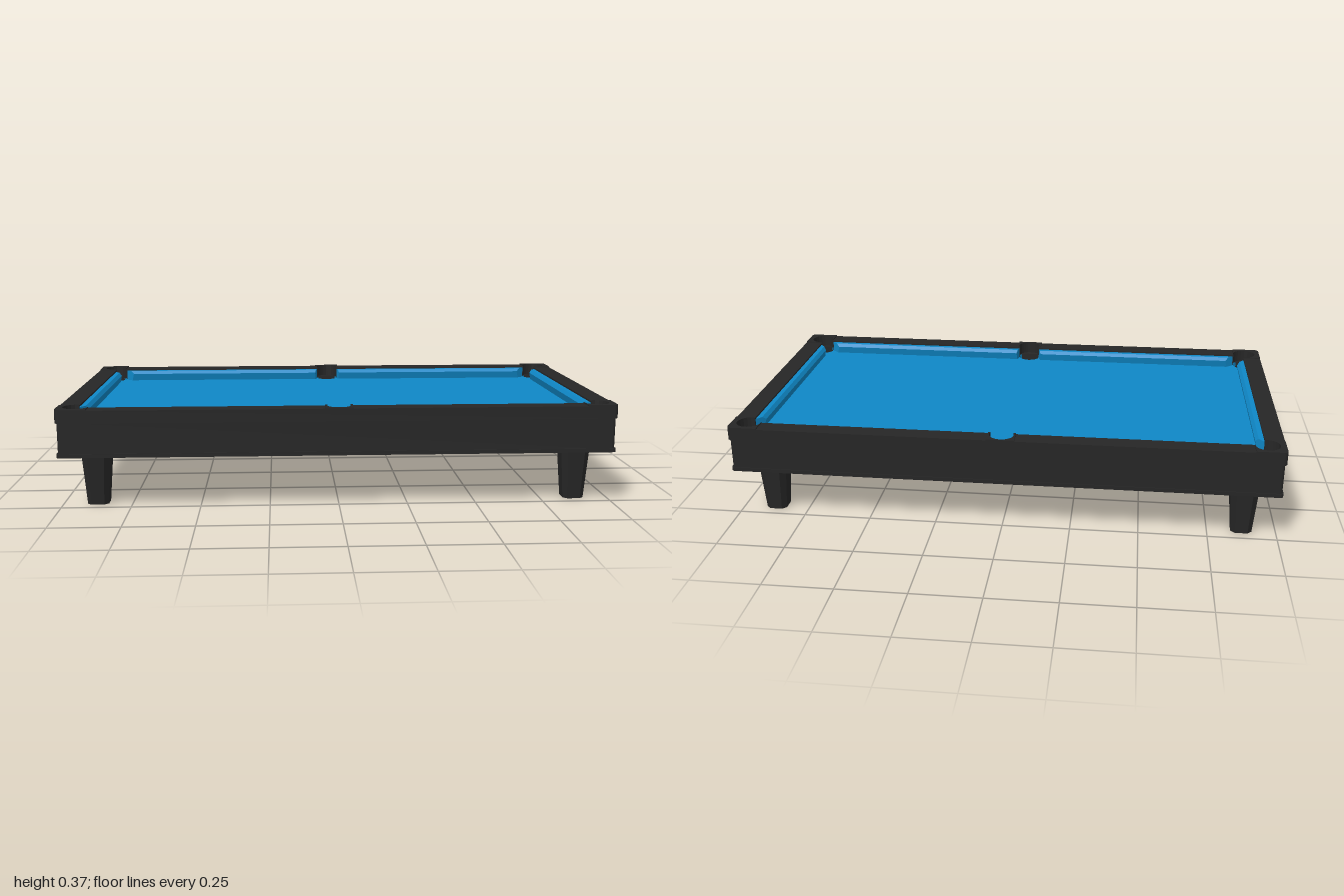
import * as THREE from 'three';
import { ConvexGeometry } from 'three/addons/geometries/ConvexGeometry.js';

const black = new THREE.MeshStandardMaterial({ color: 0x262626 });
black.name = 'black wood';
const pocketBlack = new THREE.MeshStandardMaterial({ color: 0x242424, side: THREE.DoubleSide });
pocketBlack.name = 'pocket black';
const felt = new THREE.MeshStandardMaterial({ color: 0x0f87c6 });
felt.name = 'blue felt';

const R = 0.045;                       // pocket radius
const CX = 0.935, CZ = 0.487, SZ = 0.497; // corner and side pocket centres
const IX = 0.93, IZ = 0.48;            // inner edge of the rail
const pockets = [[0, SZ], [0, -SZ]];
for (const sx of [1, -1]) for (const sz of [1, -1]) pockets.push([sx * CX, sz * CZ]);

function roundedRect(w, d, r) {
  const s = new THREE.Shape();
  s.absarc(w - r, d - r, r, 0, Math.PI / 2);
  s.absarc(-w + r, d - r, r, Math.PI / 2, Math.PI);
  s.absarc(-w + r, -d + r, r, Math.PI, Math.PI * 1.5);
  s.absarc(w - r, -d + r, r, Math.PI * 1.5, Math.PI * 2);
  s.closePath();
  return s;
}

// Stands a plan outline upright between two heights
function slab(shape, y0, y1) {
  const g = new THREE.ExtrudeGeometry(shape, { depth: y1 - y0, bevelEnabled: false, curveSegments: 8 });
  g.rotateX(-Math.PI / 2);
  g.translate(0, y0, 0);
  return g;
}

// Arc around a pocket centre through the outer side, between two points
function pocketArc(path, c, from, to, clockwise = false) {
  const ang = p => Math.atan2(p[1] - c[1], p[0] - c[0]);
  path.absarc(c[0], c[1], R, ang(from), ang(to), clockwise);
}

export function createModel() {
  const table = new THREE.Group();
  table.name = 'poolTable';
  const add = (geometry, material, name) => {
    const m = new THREE.Mesh(geometry, material);
    m.name = name;
    table.add(m);
    return m;
  };

  // Skirt around the body, with a thin lip at its foot
  const skirt = roundedRect(0.994, 0.543, 0.012);
  skirt.holes.push(roundedRect(0.97, 0.52, 0.005));
  add(slab(skirt, 0.205, 0.32), black, 'skirt');
  const lip = roundedRect(0.998, 0.547, 0.012);
  lip.holes.push(roundedRect(0.965, 0.515, 0.005));
  add(slab(lip, 0.193, 0.207), black, 'skirtLip');

  // Bed with pocket holes
  const bed = roundedRect(0.982, 0.535, 0.005);
  for (const [x, z] of pockets) {
    const hole = new THREE.Path();
    hole.absarc(x, z, R - 0.001, 0, Math.PI * 2);
    bed.holes.push(hole);
  }
  add(slab(bed, 0.27, 0.315), felt, 'bed');

  // Rail, its opening scalloped at the six pockets
  const ax = CX - Math.sqrt(R * R - (CZ - IZ) ** 2);
  const az = CZ - Math.sqrt(R * R - (CX - IX) ** 2);
  const sx = Math.sqrt(R * R - (SZ - IZ) ** 2);
  const opening = new THREE.Path();
  pocketArc(opening, [CX, CZ], [IX, az], [ax, IZ]);
  pocketArc(opening, [0, SZ], [sx, IZ], [-sx, IZ]);
  pocketArc(opening, [-CX, CZ], [-ax, IZ], [-IX, az]);
  pocketArc(opening, [-CX, -CZ], [-IX, -az], [-ax, -IZ]);
  pocketArc(opening, [0, -SZ], [-sx, -IZ], [sx, -IZ]);
  pocketArc(opening, [CX, -CZ], [ax, -IZ], [IX, -az]);
  opening.closePath();
  const rail = roundedRect(1, 0.547, 0.014);
  rail.holes.push(opening);
  add(slab(rail, 0.317, 0.362), black, 'rail');

  // Raised castings at the corners and the side pockets
  for (const mx of [1, -1]) for (const mz of [1, -1]) {
    const s = new THREE.Shape();
    const pts = [];
    const a0 = Math.atan2(az - CZ, IX - CX), a1 = Math.atan2(IZ - CZ, ax - CX) + Math.PI * 2;
    for (let i = 0; i <= 16; i++) {
      const a = a0 + (a1 - a0) * i / 16;
      pts.push([CX + R * Math.cos(a), CZ + R * Math.sin(a)]);
    }
    pts.push([ax, 0.547], [0.986, 0.547], [0.996, 0.543], [1, 0.533], [1, az]);
    s.setFromPoints(pts.map(([x, z]) => new THREE.Vector2(x * mx, z * mz)));
    add(slab(s, 0.361, 0.366), black, 'cornerCasting');
  }
  for (const mz of [1, -1]) {
    const s = new THREE.Shape();
    const pts = [[0.05, IZ], [0.05, 0.548], [-0.05, 0.548], [-0.05, IZ]];
    const a0 = Math.atan2(IZ - SZ, -sx) + Math.PI * 2, a1 = Math.atan2(IZ - SZ, sx);
    for (let i = 0; i <= 16; i++) {
      const a = a0 + (a1 - a0) * i / 16;
      pts.push([R * Math.cos(a), SZ + R * Math.sin(a)]);
    }
    s.setFromPoints(pts.map(([x, z]) => new THREE.Vector2(x, z * mz)));
    add(slab(s, 0.361, 0.366), black, 'sidePocketCasting');
  }

  // Pocket cups
  for (const [x, z] of pockets) {
    const wall = add(new THREE.CylinderGeometry(R, R, 0.095, 20, 1, true), pocketBlack, 'pocketWall');
    wall.position.set(x, 0.2675, z);
    const floor = add(new THREE.CircleGeometry(R, 20).rotateX(-Math.PI / 2), pocketBlack, 'pocketFloor');
    floor.position.set(x, 0.222, z);
  }

  // Cushions: slanted nose and mitred ends; along = [back start, nose start, nose end, back end]
  const profile = [[0, 0.314], [0, 0.356], [0.018, 0.356], [0.029, 0.344], [0.022, 0.314]];
  function cushion(along, place, name) {
    const pts = [];
    for (const [d, y] of profile) {
      const t = d / 0.029;
      pts.push(place(along[0] + (along[1] - along[0]) * t, y, d));
      pts.push(place(along[3] + (along[2] - along[3]) * t, y, d));
    }
    add(new ConvexGeometry(pts), felt, name);
  }
  for (const m of [1, -1]) {
    for (const n of [1, -1]) {
      cushion([0.043, 0.053, 0.855, 0.888],
        (u, y, d) => new THREE.Vector3(u * n, y, (IZ - d) * m), 'longCushion');
    }
    cushion([-0.435, -0.4, 0.4, 0.435],
      (u, y, d) => new THREE.Vector3((IX - d) * m, y, u), 'endCushion');
  }

  // Tapered legs with chamfered corners
  const legPoints = [];
  for (const [y, h] of [[0, 0.038], [0.195, 0.053], [0.275, 0.053]]) {
    const c = h * 0.6;
    for (const i of [1, -1]) for (const j of [1, -1]) {
      legPoints.push(new THREE.Vector3(i * h, y, j * c), new THREE.Vector3(i * c, y, j * h));
    }
  }
  const legGeometry = new ConvexGeometry(legPoints);
  for (const x of [0.875, -0.875]) for (const z of [0.424, -0.424]) {
    add(legGeometry, black, 'leg').position.set(x, 0, z);
  }
  return table;
}
